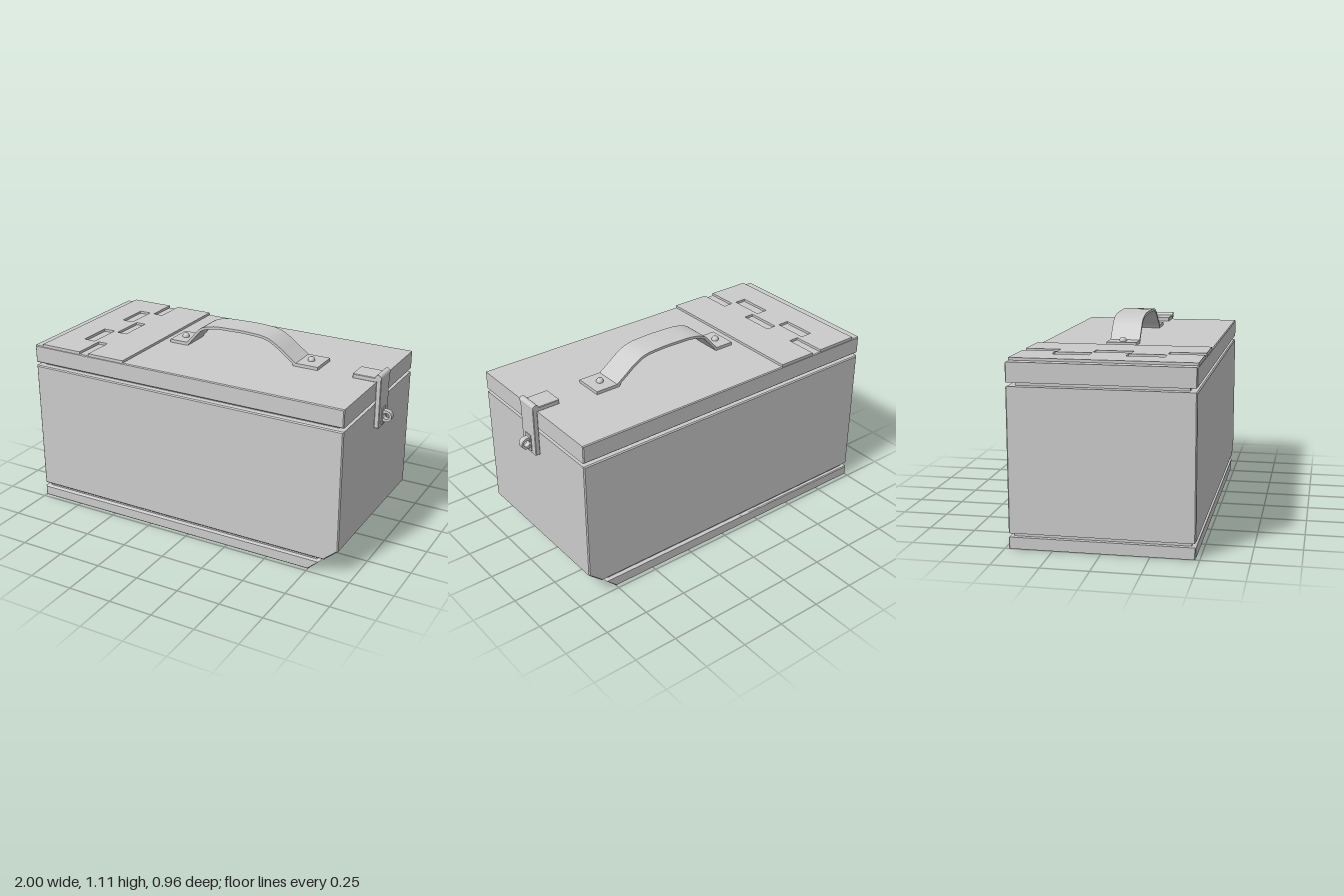
import * as THREE from 'three';
import { toCreasedNormals } from 'three/addons/utils/BufferGeometryUtils.js';

const material = new THREE.MeshStandardMaterial({ color: 0xcccccc });
const v2 = (x, y) => new THREE.Vector2(x, y);

function add(parent, name, geometry, x = 0, y = 0, z = 0) {
  const mesh = new THREE.Mesh(geometry, material);
  mesh.name = name;
  mesh.position.set(x, y, z);
  parent.add(mesh);
  return mesh;
}

// Side profile (x, y) extruded between z0 and z1, with a small edge bevel
function profile(points, z0, z1, bevel = 0) {
  const shape = new THREE.Shape(points.map(([x, y]) => v2(x, y)));
  const geometry = new THREE.ExtrudeGeometry(shape, {
    depth: z1 - z0 - 2 * bevel,
    bevelEnabled: bevel > 0,
    bevelThickness: bevel,
    bevelSize: bevel,
    bevelOffset: -bevel,
    bevelSegments: 1,
  });
  geometry.translate(0, 0, z0 + bevel);
  return toCreasedNormals(geometry, 0.5);
}

function block(x0, x1, y0, y1, z0, z1, bevel = 0) {
  return profile([[x0, y0], [x1, y0], [x1, y1], [x0, y1]], z0, z1, bevel);
}

// Hinge plate lying on the lid, with edge notches and slots
function hingePlateGeometry() {
  // Drawn as (x, -z), then laid flat
  const shape = new THREE.Shape([
    [-0.945, -0.478], [-0.69, -0.478], [-0.69, -0.29], [-0.63, -0.29], [-0.63, -0.478],
    [-0.4, -0.478], [-0.4, 0.478], [-0.63, 0.478], [-0.63, 0.29], [-0.69, 0.29],
    [-0.69, 0.478], [-0.945, 0.478],
  ].map(([x, y]) => v2(x, y)));
  const slots = [[-0.69, -0.63, -0.1, 0.1], [-0.79, -0.72, 0.1, 0.295], [-0.79, -0.72, -0.29, -0.09]];
  for (const [x0, x1, y0, y1] of slots) {
    shape.holes.push(new THREE.Path([v2(x0, y0), v2(x0, y1), v2(x1, y1), v2(x1, y0)]));
  }
  const geometry = new THREE.ExtrudeGeometry(shape, { depth: 0.017, bevelEnabled: false });
  return geometry.rotateX(-Math.PI / 2);
}

// Bent strap: a smooth arch between two flat feet
function handleGeometry() {
  const arch = new THREE.CatmullRomCurve3([
    [-0.24, 0.982], [-0.185, 1.045], [-0.15, 1.08], [-0.07, 1.104], [0.04, 1.11], [0.16, 1.11],
    [0.27, 1.098], [0.34, 1.062], [0.39, 1.025], [0.45, 0.982],
  ].map(([x, y]) => new THREE.Vector3(x, y, 0)));
  const top = [], under = [];
  for (let i = 0; i <= 32; i++) {
    const p = arch.getPoint(i / 32), t = arch.getTangent(i / 32);
    top.push([p.x, p.y]);
    under.unshift([p.x + t.y * 0.015, p.y - t.x * 0.015]);
  }
  under[0] = [0.435, 0.963];
  under[under.length - 1] = [-0.235, 0.963];
  return profile([
    [-0.35, 0.963], [-0.35, 0.982], ...top, [0.58, 0.982], [0.58, 0.963], ...under,
  ], -0.105, 0.06);
}

// Domed rivet head
function rivetGeometry() {
  const points = [v2(0.02, 0), v2(0.02, 0.008), v2(0.017, 0.016), v2(0.01, 0.022), v2(0, 0.024)];
  return new THREE.LatheGeometry(points, 20);
}

// Upright eye with a flat back and a round hole
function latchEyeGeometry() {
  const shape = new THREE.Shape();
  shape.moveTo(0.945, 0.73);
  shape.lineTo(0.968, 0.73);
  shape.absarc(0.968, 0.762, 0.032, -Math.PI / 2, Math.PI / 2, false);
  shape.lineTo(0.945, 0.794);
  shape.closePath();
  const hole = new THREE.Path();
  hole.absarc(0.97, 0.762, 0.018, 0, Math.PI * 2, true);
  shape.holes.push(hole);
  const geometry = new THREE.ExtrudeGeometry(shape, { depth: 0.032, bevelEnabled: false, curveSegments: 16 });
  geometry.translate(0, 0, -0.012);
  return toCreasedNormals(geometry, 0.5);
}

export function createModel() {
  const model = new THREE.Group();
  model.name = 'metalCase';

  // Base, body and lid separated by recessed seams
  const box = new THREE.Group();
  box.name = 'box';
  model.add(box);
  add(box, 'base', profile([[-1, 0], [0.75, 0], [0.815, 0.062], [-1, 0.062]], -0.48, 0.48, 0.005));
  add(box, 'lowerSeam', profile([[-0.975, 0.05], [0.78, 0.05], [0.82, 0.09], [-0.975, 0.09]], -0.457, 0.457));
  add(box, 'body', profile([
    [-1, 0.082], [0.84, 0.082], [0.92, 0.152], [0.92, 0.841], [-1, 0.841],
  ], -0.48, 0.48, 0.006));
  add(box, 'upperSeam', block(-0.96, 0.88, 0.83, 0.87, -0.44, 0.44));
  add(box, 'lid', block(-1, 0.92, 0.861, 0.964, -0.48, 0.48, 0.005));
  add(box, 'hingePlate', hingePlateGeometry(), 0, 0.961, 0);

  // Carrying handle with its rivets
  const handle = new THREE.Group();
  handle.name = 'handle';
  model.add(handle);
  add(handle, 'handleStrap', handleGeometry());
  for (const x of [-0.295, 0.505]) add(handle, 'handleRivet', rivetGeometry(), x, 0.981, -0.023);

  // Latch hooked over the lid edge
  const latch = new THREE.Group();
  latch.name = 'latch';
  model.add(latch);
  add(latch, 'latchTopPlate', block(0.785, 0.925, 0.962, 0.988, -0.06, 0.064, 0.003));
  add(latch, 'latchStrap', block(0.92, 0.947, 0.702, 0.985, -0.06, 0.064, 0.003));
  const knuckle = new THREE.CylinderGeometry(0.018, 0.018, 0.132, 20).rotateX(Math.PI / 2);
  add(latch, 'latchKnuckle', knuckle, 0.931, 0.988, 0.002);
  add(latch, 'latchEyePlate', block(0.94, 0.952, 0.715, 0.81, -0.022, 0.028));
  add(latch, 'latchEye', latchEyeGeometry());

  return model;
}
